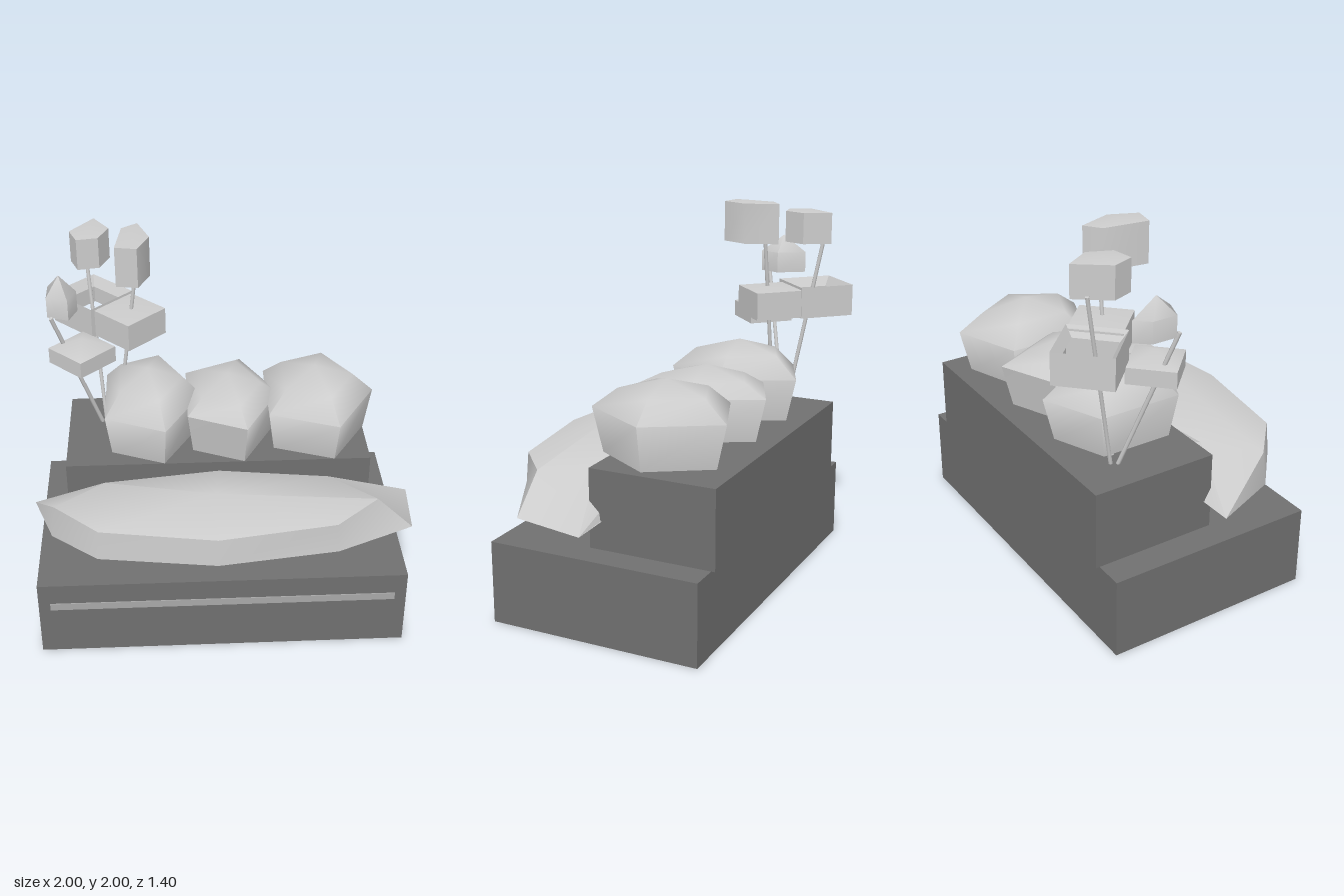
import * as THREE from 'three';
import { toCreasedNormals } from 'three/addons/utils/BufferGeometryUtils.js';

const material = (name, color) =>
  new THREE.MeshStandardMaterial({ name, color, side: THREE.DoubleSide });

// Skin between rings of [x, y, z] points, listed bottom to top, counter-clockwise from above
function loft(rings, apex, closedBottom, crease = 0.9) {
  const pos = [];
  const tri = (a, b, c) => pos.push(...a, ...b, ...c);
  const n = rings[0].length;
  for (let i = 0; i < n; i++) {
    const j = (i + 1) % n;
    for (let k = 0; k + 1 < rings.length; k++) {
      const lo = rings[k], hi = rings[k + 1];
      tri(lo[i], lo[j], hi[j]);
      tri(lo[i], hi[j], hi[i]);
    }
    const top = rings[rings.length - 1];
    if (apex) tri(top[i], top[j], apex);
    if (closedBottom && i > 0 && i < n - 1) tri(rings[0][0], rings[0][j], rings[0][i]);
  }
  const geo = new THREE.BufferGeometry();
  geo.setAttribute('position', new THREE.Float32BufferAttribute(pos, 3));
  geo.computeVertexNormals();
  return toCreasedNormals(geo, crease);
}

// Horizontal polygon ring around a centre
function ring(sides, x, y, z, rx, rz = rx) {
  return Array.from({ length: sides }, (_, i) => {
    const a = (i / sides) * Math.PI * 2;
    return [x + rx * Math.cos(a), y, z - rz * Math.sin(a)];
  });
}

// Box given by its limits, without its bottom face
function openBox(x0, x1, y0, y1, z0, z1) {
  const geo = new THREE.BoxGeometry(x1 - x0, y1 - y0, z1 - z0);
  const index = Array.from(geo.index.array);
  index.splice(18, 6);
  geo.clearGroups();
  geo.setIndex(index);
  return geo.translate((x0 + x1) / 2, (y0 + y1) / 2, (z0 + z1) / 2);
}

export function createModel() {
  const group = new THREE.Group();
  const dark = material('dark grey', 0x707070);
  const trim = material('trim grey', 0xa8a8a8);
  const pale = material('pale grey', 0xcccccc);
  const add = (name, geo, mat) => {
    const mesh = new THREE.Mesh(geo, mat);
    mesh.name = name;
    group.add(mesh);
    return mesh;
  };

  // Stepped pedestal with a front stripe
  add('lowerStep', openBox(-0.97, 0.93, 0, 0.43, -0.54, 0.585), dark);
  add('upperStep', openBox(-0.82, 0.78, 0.43, 0.84, -0.56, 0.11), dark);
  const stripe = new THREE.BoxGeometry(1.78, 0.04, 0.006);
  add('frontStripe', stripe.translate(-0.02, 0.295, 0.587), trim);

  // Long cushion resting against the upper step
  const hem = [
    [-1, 0.585, 0.07], [-0.89, 0.61, 0.4], [-0.65, 0.62, 0.61], [-0.05, 0.625, 0.7],
    [0.56, 0.62, 0.61], [0.97, 0.6, 0.4], [1, 0.575, 0.04], [-0.02, 0.58, 0.08],
  ];
  const shoulder = [
    [-0.62, 0.785, 0.19], [-0.87, 0.785, 0.39], [-0.64, 0.78, 0.6], [-0.05, 0.775, 0.69],
    [0.55, 0.78, 0.6], [0.78, 0.785, 0.4], [0.55, 0.785, 0.19], [-0.02, 0.785, 0.11],
  ];
  add('cushion', loft([hem, shoulder], [-0.05, 0.855, 0.41], true), pale);

  // Row of three rounded five-sided mounds: centre x, radius, apex height
  for (const [x, r, top] of [[-0.38, 0.28, 1.26], [0.04, 0.27, 1.215], [0.5, 0.315, 1.25]]) {
    const z = -0.17, rz = 0.38;
    const rings = [
      ring(5, x, 0.86, z, r * 0.88, rz * 0.85),
      ring(5, x, 1.09, z, r, rz),
      ring(5, x, top - 0.06, z, r * 0.65, rz * 0.65),
    ];
    add('mound', loft(rings, [x, top, z], true, 1.1), pale);
  }

  // Blossom heads: outline [x, z], bottom, wall top, apex height
  const heads = [
    [[[-0.88, -0.3], [-0.88, -0.17], [-0.77, -0.13], [-0.73, -0.24], [-0.82, -0.37]], 1.57, 1.68, 1.77],
    [[[-0.76, -0.42], [-0.72, -0.31], [-0.61, -0.33], [-0.56, -0.45], [-0.64, -0.58]], 1.765, 1.93, 1.94],
    [[[-0.49, -0.31], [-0.52, -0.08], [-0.41, -0.06], [-0.35, -0.2], [-0.41, -0.37]], 1.78, 1.99, 2],
  ];
  for (const [outline, y0, y1, tip] of heads) {
    const at = (y) => outline.map(([x, z]) => [x, y, z]);
    const mid = [0, 1].map((k) => outline.reduce((s, p) => s + p[k], 0) / outline.length);
    add('blossom', loft([at(y0), at(y1)], [mid[0], tip, mid[1]], true), pale);
  }

  // Square lower blossoms with shallow roofs
  for (const [x, z, r, y0, y1, tip] of [
    [-0.47, -0.31, 0.19, 1.39, 1.535, 1.55],
    [-0.715, -0.165, 0.172, 1.31, 1.395, 1.445],
  ]) {
    add('squareBlossom', loft([ring(4, x, y0, z, r), ring(4, x, y1, z, r)], [x, tip, z], false), pale);
  }

  // Hollow square blossom with an inward rim
  const hollow = [
    ring(4, -0.665, 1.385, -0.49, 0.21),
    ring(4, -0.665, 1.55, -0.49, 0.21),
    ring(4, -0.665, 1.5, -0.49, 0.16),
  ];
  add('hollowBlossom', loft(hollow, null, false, 0.5), pale);

  // Slender stems
  for (const [from, to] of [
    [[-0.64, 0.84, -0.32], [-0.86, 1.58, -0.14]],
    [[-0.62, 0.84, -0.35], [-0.69, 1.78, -0.52]],
    [[-0.555, 0.84, -0.3], [-0.42, 1.8, -0.29]],
  ]) {
    const a = new THREE.Vector3(...from), b = new THREE.Vector3(...to);
    const stem = add('stem', new THREE.CylinderGeometry(0.011, 0.011, a.distanceTo(b), 6), pale);
    stem.position.copy(a).lerp(b, 0.5);
    stem.quaternion.setFromUnitVectors(new THREE.Vector3(0, 1, 0), b.sub(a).normalize());
  }
  return group;
}
